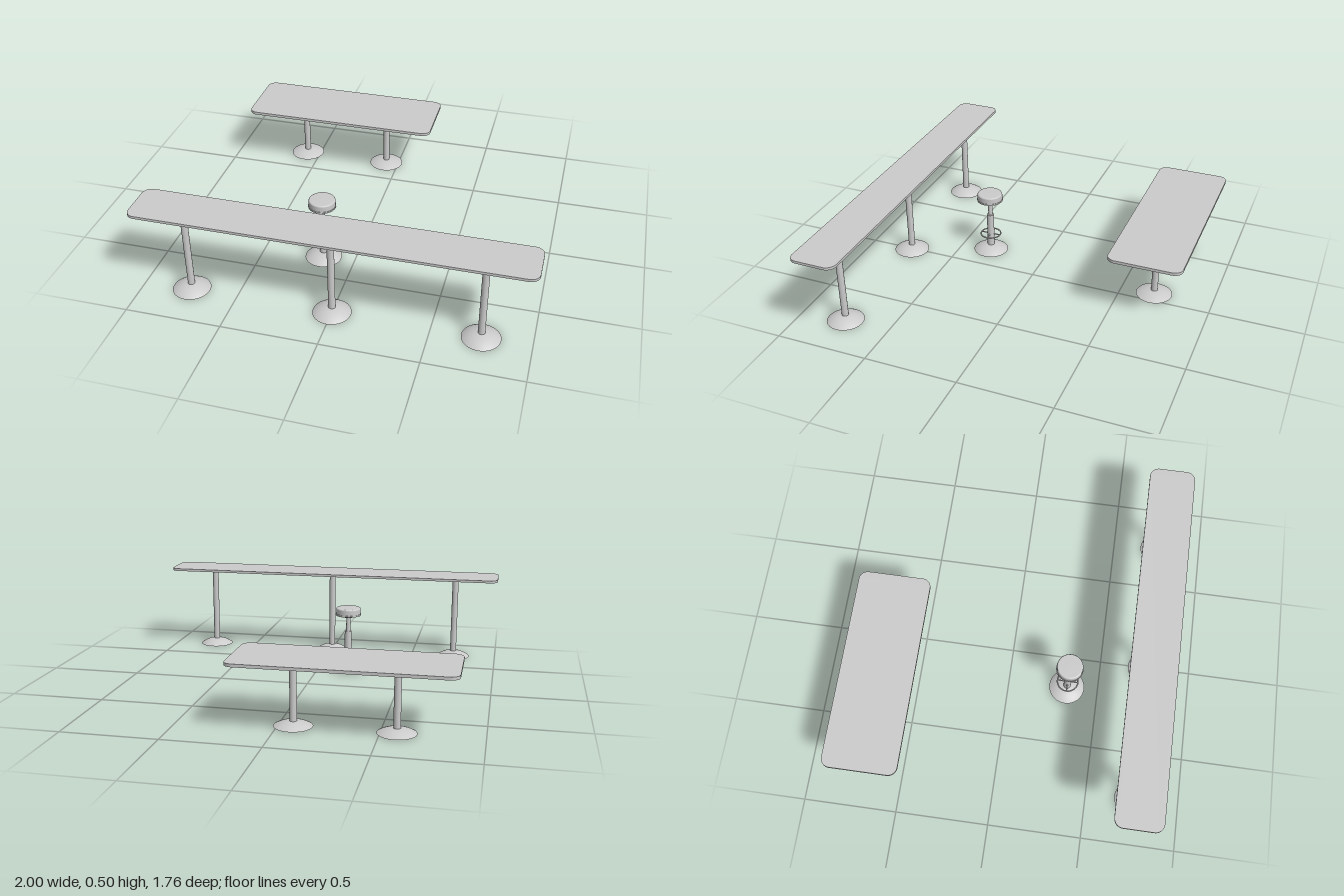
import * as THREE from 'three';

const material = new THREE.MeshStandardMaterial({ color: 0xcccccc });

function add(group, name, geometry, x = 0, y = 0, z = 0) {
  const mesh = new THREE.Mesh(geometry, material);
  mesh.name = name;
  mesh.position.set(x, y, z);
  group.add(mesh);
  return mesh;
}

const cylinder = (r, h) => new THREE.CylinderGeometry(r, r, h, 32);

// Shallow spherical cap with a flat underside
function domeGeometry(r, h) {
  const R = (r * r + h * h) / (2 * h);
  const max = Math.asin(r / R);
  const points = [];
  for (let i = 0; i <= 10; i++) {
    const a = max * (1 - i / 10);
    points.push(new THREE.Vector2(R * Math.sin(a), h - R + R * Math.cos(a)));
  }
  return new THREE.LatheGeometry(points, 48);
}

function addBase(group, h) {
  add(group, 'base', domeGeometry(0.098, h));
  const underside = add(group, 'baseUnderside', new THREE.CircleGeometry(0.098, 48));
  underside.rotation.x = Math.PI / 2;
}

// Slab with rounded corners, lying flat with its underside at y = 0
function slabGeometry(w, d, r, h) {
  const x = w / 2, y = d / 2;
  const s = new THREE.Shape();
  s.moveTo(-x + r, -y);
  s.absarc(x - r, -y + r, r, -Math.PI / 2, 0);
  s.absarc(x - r, y - r, r, 0, Math.PI / 2);
  s.absarc(-x + r, y - r, r, Math.PI / 2, Math.PI);
  s.absarc(-x + r, -y + r, r, Math.PI, Math.PI * 1.5);
  return new THREE.ExtrudeGeometry(s, { depth: h, bevelEnabled: false, curveSegments: 10 })
    .rotateX(-Math.PI / 2);
}

function createTable({ name, x, z, width, depth, top, thickness, baseHeight, legs }) {
  const table = new THREE.Group();
  table.name = name;
  table.position.set(x, 0, z);
  const under = top - thickness;
  add(table, 'tabletop', slabGeometry(width, depth, 0.048, thickness), 0, under, 0);
  for (const legX of legs) {
    const pedestal = new THREE.Group();
    pedestal.name = 'pedestal';
    pedestal.position.x = legX;
    addBase(pedestal, baseHeight);
    add(pedestal, 'post', cylinder(0.018, under - 0.01), 0, (under + 0.01) / 2, 0);
    table.add(pedestal);
  }
  return table;
}

function createStool() {
  const stool = new THREE.Group();
  stool.name = 'stool';
  stool.position.set(-0.172, 0, 0.327);
  addBase(stool, 0.035);
  add(stool, 'lowerPost', cylinder(0.02, 0.22), 0, 0.12, 0);
  add(stool, 'upperPost', cylinder(0.012, 0.1), 0, 0.27, 0);

  // Foot ring and its spokes
  add(stool, 'footRing', new THREE.TorusGeometry(0.057, 0.004, 10, 48), 0, 0.103, 0).rotation.x = Math.PI / 2;
  for (let i = 0; i < 2; i++) {
    const spoke = add(stool, 'footRingSpoke', cylinder(0.0035, 0.114), 0, 0.103, 0);
    spoke.rotation.set(Math.PI / 2, 0, i * Math.PI / 2);
  }

  // Flared support, trim band and padded seat
  add(stool, 'seatSupport', new THREE.CylinderGeometry(0.032, 0.022, 0.016, 32), 0, 0.318, 0);
  add(stool, 'seatTrim', cylinder(0.073, 0.008), 0, 0.329, 0);
  const pad = [[0.07, 0.333], [0.07, 0.36]].map(([r, y]) => new THREE.Vector2(r, y));
  for (let i = 1; i <= 6; i++) {
    const a = i / 6 * Math.PI / 2;
    pad.push(new THREE.Vector2(0.062 + 0.008 * Math.cos(a), 0.36 + 0.008 * Math.sin(a)));
  }
  pad.push(new THREE.Vector2(0, 0.369));
  add(stool, 'seatPad', new THREE.LatheGeometry(pad, 48));
  return stool;
}

export function createModel() {
  const model = new THREE.Group();
  model.name = 'barFurniture';
  model.add(
    createTable({
      name: 'barTable', x: 0, z: 0.755, width: 2, depth: 0.248, top: 0.495,
      thickness: 0.014, baseHeight: 0.034, legs: [-0.75, 0, 0.75],
    }),
    createTable({
      name: 'lowTable', x: -0.327, z: -0.682, width: 1.1, depth: 0.396, top: 0.352,
      thickness: 0.016, baseHeight: 0.026, legs: [-0.253, 0.253],
    }),
    createStool(),
  );
  return model;
}
